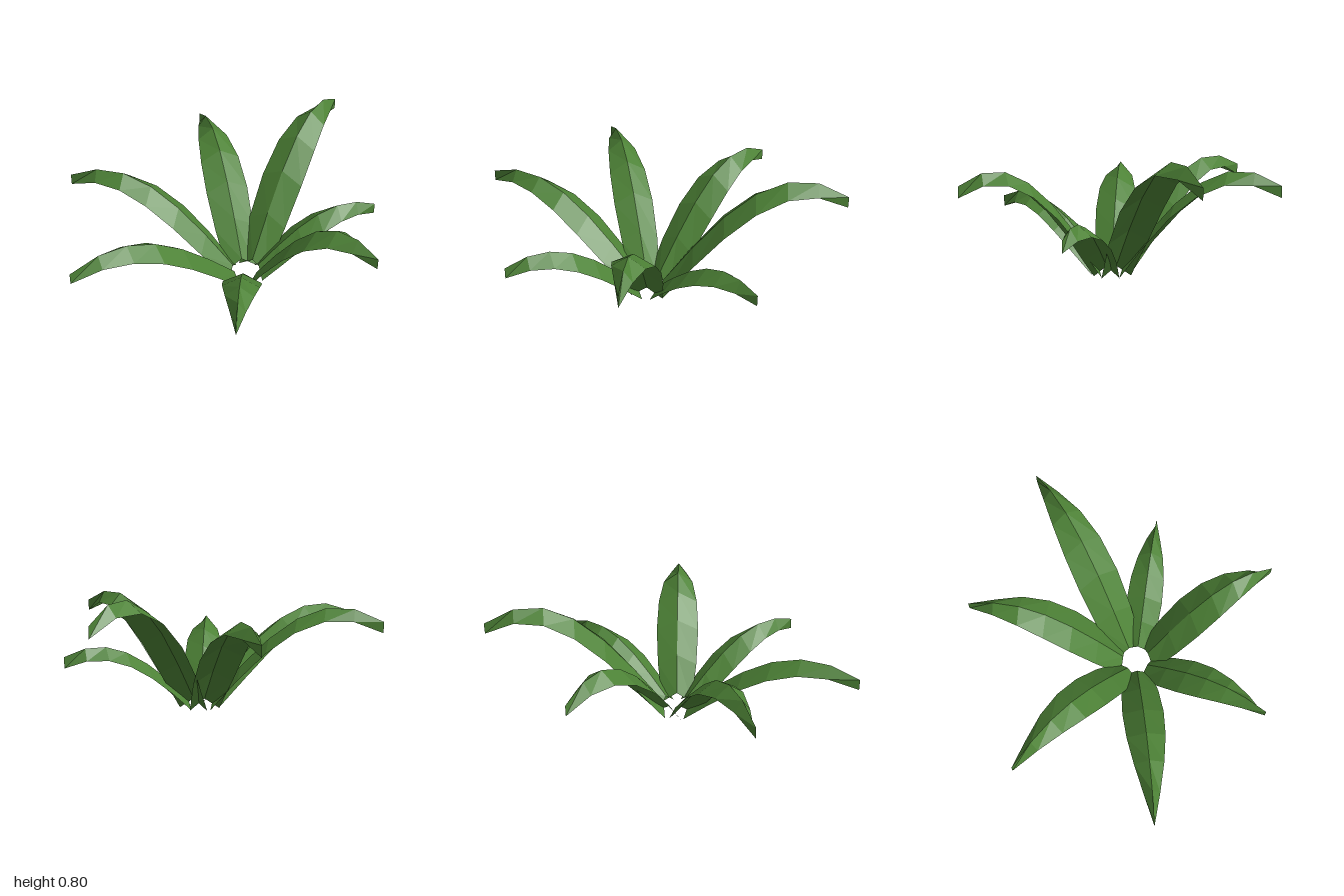
import * as THREE from 'three';

const SEGMENTS = 6;
const FOLD = 0.07; // how far the leaf edges hang below the midrib
const CENTER = new THREE.Vector2(0.135, 0.09);
const BASE_RADIUS = 0.085;

// tip position (x, z), arch height and greatest half width of each leaf
const LEAVES = [
  { name: 'backLeaf', tip: [0.09, -0.96], height: 0.61, width: 0.137 },
  { name: 'backLeftLeaf', tip: [0.98, -0.73], height: 0.74, width: 0.14 },
  { name: 'leftLeaf', tip: [0.995, 0.05], height: 0.36, width: 0.115 },
  { name: 'frontLeftLeaf', tip: [0.7, 0.83], height: 0.605, width: 0.137 },
  { name: 'frontLeaf', tip: [-0.165, 0.955], height: 0.38, width: 0.12 },
  { name: 'frontRightLeaf', tip: [-1, 0.42], height: 0.505, width: 0.128 },
  { name: 'backRightLeaf', tip: [-0.86, -0.46], height: 0.595, width: 0.125 },
];

// Arching leaf folded along its midrib, with flat facets
function leafGeometry({ tip, height, width }) {
  const end = new THREE.Vector2(...tip);
  const dir = end.clone().sub(CENTER).normalize();
  const base = CENTER.clone().addScaledVector(dir, BASE_RADIUS);
  const positions = [];
  const index = [];

  for (let i = 0; i <= SEGMENTS; i++) {
    const t = i / SEGMENTS;
    const p = base.clone().lerp(end, t);
    const y = height * Math.sin((t * Math.PI * 2) / 3);
    const half = width * Math.sin(Math.PI * (0.25 + 0.75 * t));
    // edge, midrib, edge
    for (const side of [-1, 0, 1]) {
      positions.push(
        p.x - dir.y * half * side,
        y + (side === 0 ? FOLD : 0),
        p.y + dir.x * half * side
      );
    }
    if (i === SEGMENTS) continue;
    for (let k = 0; k < 2; k++) {
      const a = i * 3 + k, b = a + 1, c = a + 3, d = a + 4;
      index.push(a, b, c, b, d, c);
    }
  }

  const geometry = new THREE.BufferGeometry();
  geometry.setAttribute('position', new THREE.Float32BufferAttribute(positions, 3));
  geometry.setIndex(index);
  const flat = geometry.toNonIndexed();
  flat.computeVertexNormals();
  return flat;
}

export function createModel() {
  const group = new THREE.Group();
  group.name = 'plant';
  const leafGreen = new THREE.MeshStandardMaterial({
    name: 'leafGreen', color: 0x4d8236, side: THREE.DoubleSide, flatShading: true,
  });
  for (const leaf of LEAVES) {
    const mesh = new THREE.Mesh(leafGeometry(leaf), leafGreen);
    mesh.name = leaf.name;
    group.add(mesh);
  }
  return group;
}
